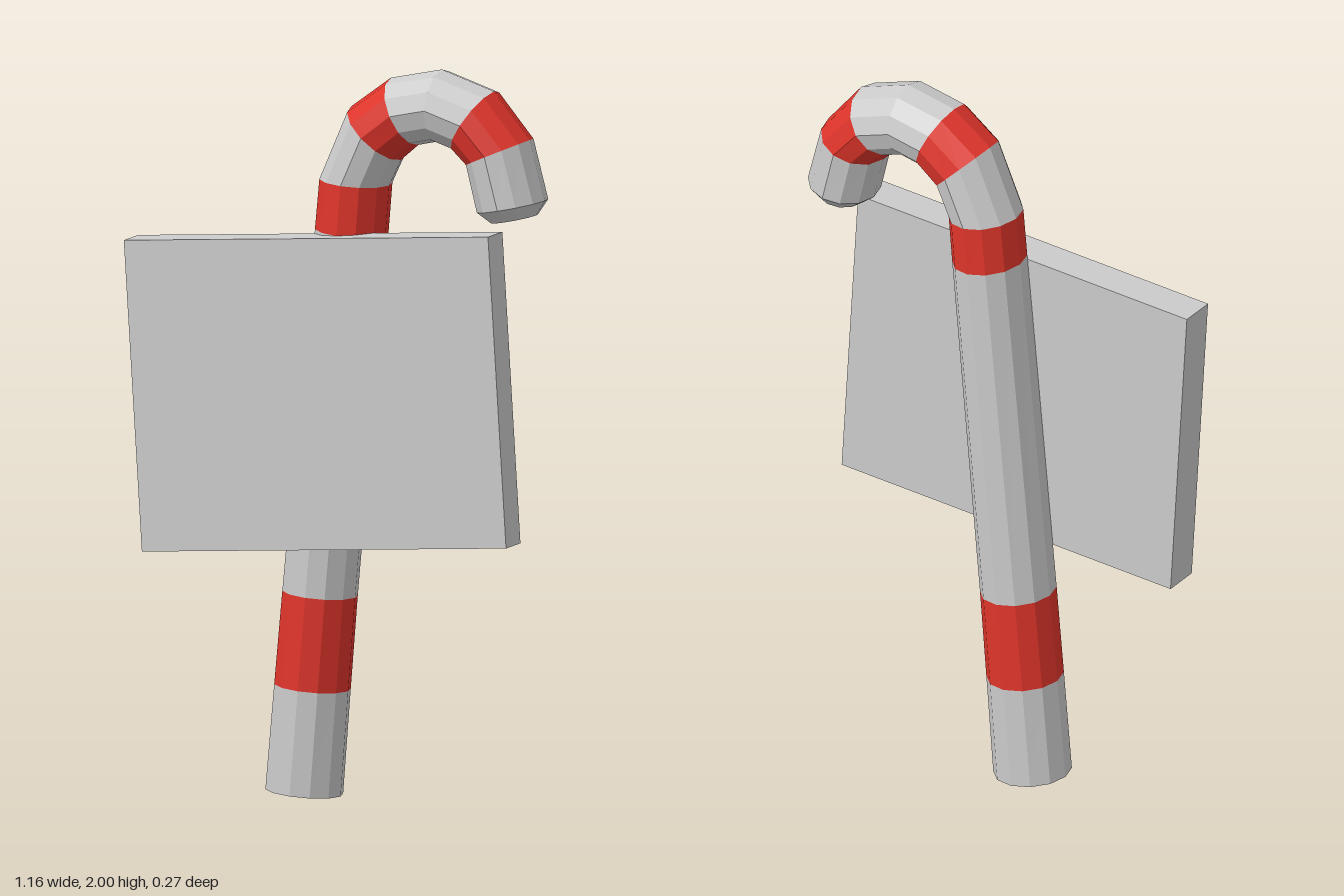
import * as THREE from 'three';

const SIDES = 12;
const CANE_Z = -0.024;

// Cane cross-sections from foot to tip: x, y, angle of the outer side (degrees), radius in the bend plane, radius in z
const RINGS = [
  [-0.121, 0.009, 175, 0.106, 0.108],
  [-0.097, 0.297, 175, 0.104, 0.108],
  [-0.075, 0.553, 175, 0.102, 0.109],
  [0.017, 1.545, 175, 0.098, 0.112],
  [0.029, 1.682, 175, 0.097, 0.113],
  [0.088, 1.815, 136, 0.100, 0.113],
  [0.171, 1.879, 114, 0.098, 0.113],
  [0.272, 1.900, 86, 0.099, 0.113],
  [0.375, 1.865, 56, 0.099, 0.113],
  [0.447, 1.783, 23, 0.095, 0.113],
  [0.484, 1.638, 11, 0.096, 0.111],
  [0.490, 1.603, 11, 0.063, 0.075],
];
const RED_BANDS = [1, 3, 5, 8];

function ringPoint([x, y, deg, r, rz], i) {
  const a = THREE.MathUtils.degToRad(deg);
  const t = (i / SIDES) * Math.PI * 2;
  const c = r * Math.cos(t);
  return [x + c * Math.cos(a), y + c * Math.sin(a), CANE_Z + rz * Math.sin(t)];
}

// Faceted surface between two cross-sections, optionally closed at the far end
function bandGeometry(from, to, closeEnd) {
  const pos = [];
  for (let i = 0; i < SIDES; i++) {
    const a = ringPoint(from, i), b = ringPoint(from, i + 1);
    const c = ringPoint(to, i + 1), d = ringPoint(to, i);
    pos.push(...a, ...b, ...c, ...a, ...c, ...d);
    if (closeEnd) pos.push(...d, ...c, to[0], to[1], CANE_Z);
  }
  const geometry = new THREE.BufferGeometry();
  geometry.setAttribute('position', new THREE.Float32BufferAttribute(pos, 3));
  geometry.computeVertexNormals();
  return geometry;
}

export function createModel() {
  const model = new THREE.Group();
  model.name = 'candyCaneSign';
  const grey = new THREE.MeshStandardMaterial({ color: 0xcccccc, flatShading: true, side: THREE.DoubleSide });
  const red = new THREE.MeshStandardMaterial({ color: 0xe0352b, flatShading: true, side: THREE.DoubleSide });

  // Striped cane, open at the foot and closed at the tip
  const cane = new THREE.Group();
  cane.name = 'cane';
  for (let i = 0; i < RINGS.length - 1; i++) {
    const isRed = RED_BANDS.includes(i);
    const isTip = i === RINGS.length - 2;
    const band = new THREE.Mesh(bandGeometry(RINGS[i], RINGS[i + 1], isTip), isRed ? red : grey);
    band.name = isTip ? 'caneTip' : isRed ? 'redStripe' : 'whiteStripe';
    cane.add(band);
  }
  model.add(cane);

  // Tilted sign board on the front of the cane
  const board = new THREE.Mesh(
    new THREE.BoxGeometry(1.06, 0.848, 0.105),
    new THREE.MeshStandardMaterial({ color: 0xcccccc, flatShading: true })
  );
  board.name = 'signBoard';
  board.position.set(-0.026, 1.118, 0.084);
  board.rotation.z = THREE.MathUtils.degToRad(3.55);
  model.add(board);

  return model;
}
